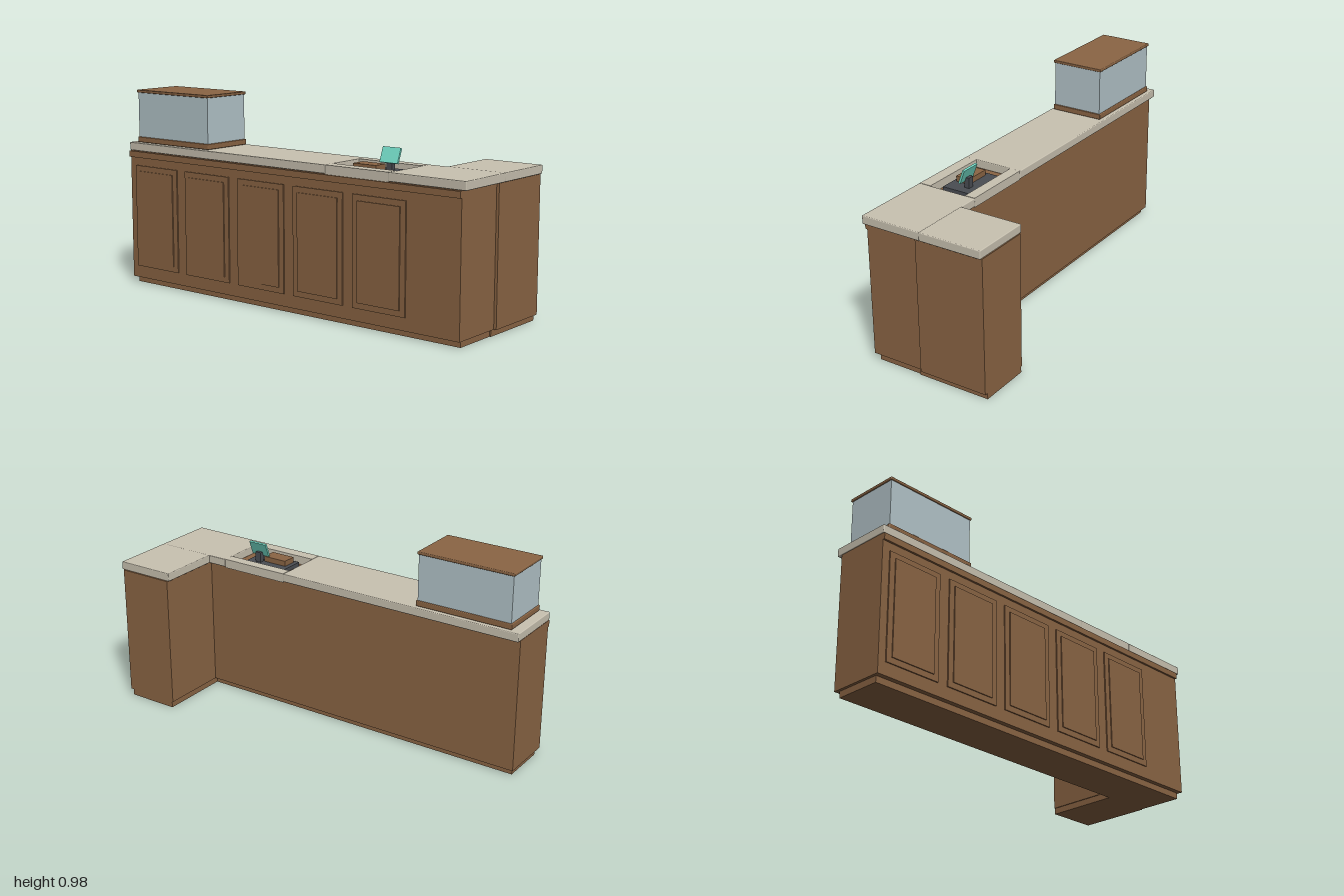
import * as THREE from 'three';
import { RoundedBoxGeometry } from 'three/addons/geometries/RoundedBoxGeometry.js';

export function createModel() {
  const group = new THREE.Group();
  const mat = (name, color) => {
    const m = new THREE.MeshStandardMaterial({ color });
    m.name = name;
    return m;
  };
  const wood = mat('wood', 0x8b6544);
  const stone = mat('stone', 0xc9c2b1);
  const glass = mat('glass', 0xb4c5ca);
  const dark = mat('dark metal', 0x4a4d53);
  const teal = mat('teal screen', 0x74dcc8);

  // Box from its limits on each axis; a bevel softens the edges
  function box(name, material, [x0, x1], [y0, y1], [z0, z1], bevel = 0) {
    const size = [x1 - x0, y1 - y0, z1 - z0];
    const geo = bevel ? new RoundedBoxGeometry(...size, 2, bevel) : new THREE.BoxGeometry(...size);
    const mesh = new THREE.Mesh(geo, material);
    mesh.name = name;
    mesh.position.set((x0 + x1) / 2, (y0 + y1) / 2, (z0 + z1) / 2);
    group.add(mesh);
    return mesh;
  }

  // Cabinets and recessed plinths
  box('mainCabinet', wood, [-0.998, 0.972], [0.03, 0.672], [0.03, 0.3]);
  box('mainPlinth', wood, [-0.985, 0.962], [0, 0.03], [0.05, 0.276]);
  box('returnCabinet', wood, [0.71, 0.985], [0.03, 0.672], [-0.307, 0.034]);
  box('returnPlinth', wood, [0.715, 0.968], [0, 0.03], [-0.307, 0.05]);
  box('topRail', wood, [-0.998, 0.972], [0.64, 0.67], [0.3, 0.31]);

  // Five raised door panels
  for (let i = 0; i < 5; i++) {
    const x = -0.96 + i * 0.342;
    box('doorPanel', wood, [x, x + 0.286], [0.09, 0.6], [0.3, 0.306]);
    box('doorInset', wood, [x + 0.028, x + 0.258], [0.117, 0.573], [0.306, 0.311]);
  }

  // Worktops, with a well left open for the till
  const top = [0.673, 0.713];
  box('worktopLong', stone, [-1, 0.252], top, [0.003, 0.305], 0.004);
  box('worktopCorner', stone, [0.6, 0.996], top, [0.003, 0.305], 0.004);
  box('worktopReturn', stone, [0.7, 0.996], top, [-0.305, 0.006], 0.004);
  box('wellFrontStrip', stone, [0.252, 0.6], [0.669, 0.713], [0.245, 0.303]);
  box('wellBackStrip', stone, [0.252, 0.6], [0.669, 0.713], [0.005, 0.057]);

  // Display case
  box('caseBase', wood, [-0.957, -0.475], [0.715, 0.742], [0.02, 0.29], 0.004);
  box('caseGlass', glass, [-0.951, -0.481], [0.742, 0.962], [0.027, 0.284]);
  box('caseTop', wood, [-0.957, -0.475], [0.961, 0.975], [0.02, 0.29], 0.004);

  // Till: tray, wooden block, stand and tilted screen
  box('tillTray', dark, [0.312, 0.54], [0.672, 0.692], [0.08, 0.222]);
  box('tillBlock', wood, [0.335, 0.46], [0.692, 0.718], [0.136, 0.207]);
  box('screenStand', dark, [0.465, 0.495], [0.69, 0.742], [0.111, 0.136]);
  const screen = box('screen', teal, [0.432, 0.53], [0.721, 0.793], [0.121, 0.131]);
  screen.rotation.x = -0.36;

  return group;
}
